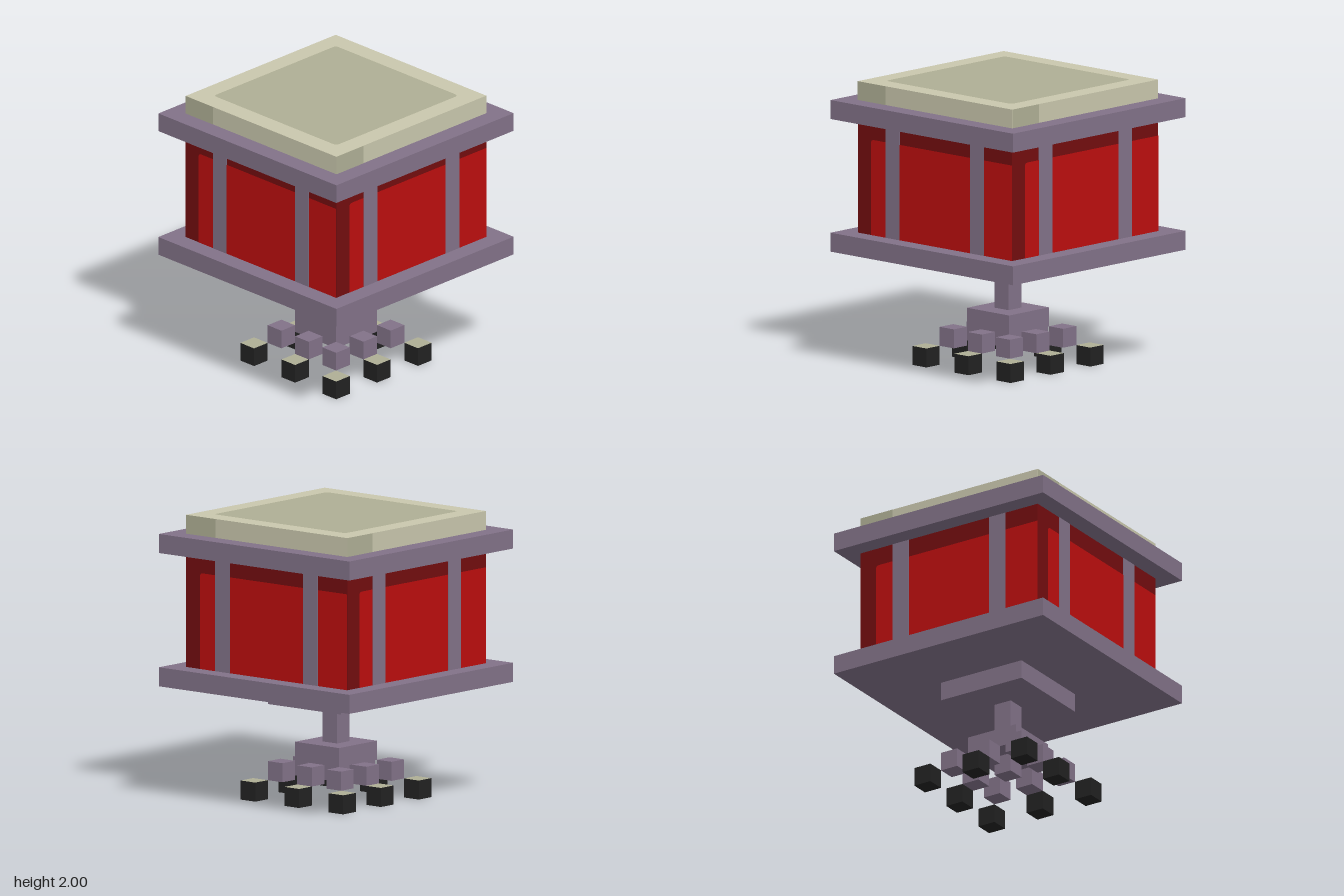
import * as THREE from 'three';

const U = 2 / 15; // block size

const mat = (name, color) => {
  const m = new THREE.MeshStandardMaterial({ color });
  m.name = name;
  return m;
};

export function createModel() {
  const frame = mat('mauve frame', 0x827288);
  const red = mat('red', 0xbc0e0e);
  const darkRed = mat('dark red', 0x730d0f);
  const cream = mat('cream', 0xc9c7ad);
  const shadeCream = mat('grey cream', 0xafaf95);
  const black = mat('black', 0x222222);

  const model = new THREE.Group();
  model.name = 'squareSeat';

  const add = (parent, name, geometry, material, x = 0, y = 0, z = 0) => {
    const mesh = new THREE.Mesh(geometry, material);
    mesh.name = name;
    mesh.position.set(x, y, z);
    parent.add(mesh);
    return mesh;
  };

  // Square slab, measured in blocks: width, bottom and top
  const slab = (name, width, y0, y1, material) =>
    add(model, name, new THREE.BoxGeometry(width * U, (y1 - y0) * U, width * U),
      material, 0, (y0 + y1) / 2 * U, 0);

  // Base: eight legs stepping outwards to small feet
  const cube = new THREE.BoxGeometry(U, U, U);
  const footMaterials = [black, black, shadeCream, black, black, black];
  for (const i of [-1, 0, 1]) {
    for (const j of [-1, 0, 1]) {
      if (i === 0 && j === 0) continue;
      add(model, 'foot', cube, footMaterials, i * 3 * U, U / 2, j * 3 * U);
      add(model, 'leg', cube, frame, i * 2 * U, 1.5 * U, j * 2 * U);
    }
  }
  slab('hub', 3, 2, 3, frame);
  slab('hubPin', 1, 1, 2, frame);
  slab('stem', 1, 3, 5, frame);
  slab('stemPlate', 5, 5, 6, frame);

  // Body between two wide plates, with a pad on top
  slab('lowerPlate', 13, 6, 7, frame);
  slab('body', 11, 7, 13, darkRed);
  slab('upperPlate', 13, 13, 14, frame);
  slab('pad', 11, 14, 14.99, cream);

  // Red panel with its upper left corner rounded off
  const half = 5.5 * U;
  const panel = new THREE.Shape();
  panel.moveTo(-0.607, 7 * U);
  panel.lineTo(half, 7 * U);
  panel.lineTo(half, 1.605);
  panel.lineTo(-0.58, 1.605);
  panel.quadraticCurveTo(-0.607, 1.605, -0.607, 1.578);
  panel.closePath();
  const panelGeometry = new THREE.ShapeGeometry(panel, 4);
  const columnGeometry = new THREE.BoxGeometry(U, 6 * U, U);
  const patchGeometry = new THREE.PlaneGeometry(2 * U, 0.99 * U);

  // The same four details on every side
  for (let k = 0; k < 4; k++) {
    const side = new THREE.Group();
    side.name = 'side';
    side.rotation.y = k * Math.PI / 2;
    add(side, 'redPanel', panelGeometry, red, 0, 0, half + 0.0015);
    for (const s of [-1, 1]) {
      add(side, 'column', columnGeometry, frame, s * 3 * U, 10 * U, 5 * U + 0.003);
    }
    add(side, 'padShade', patchGeometry, shadeCream, -4.5 * U, 14.495 * U, half + 0.0015);
    model.add(side);
  }

  // Inset on the pad with small rounded corners
  const a = 0.597, c = 0.567;
  const inset = new THREE.Shape();
  inset.moveTo(-c, -a);
  inset.lineTo(c, -a);
  inset.quadraticCurveTo(a, -a, a, -c);
  inset.lineTo(a, c);
  inset.quadraticCurveTo(a, a, c, a);
  inset.lineTo(-c, a);
  inset.quadraticCurveTo(-a, a, -a, c);
  inset.lineTo(-a, -c);
  inset.quadraticCurveTo(-a, -a, -c, -a);
  const insetMesh = add(model, 'padInset', new THREE.ShapeGeometry(inset, 4), shadeCream, 0, 2, 0);
  insetMesh.rotation.x = -Math.PI / 2;

  return model;
}
